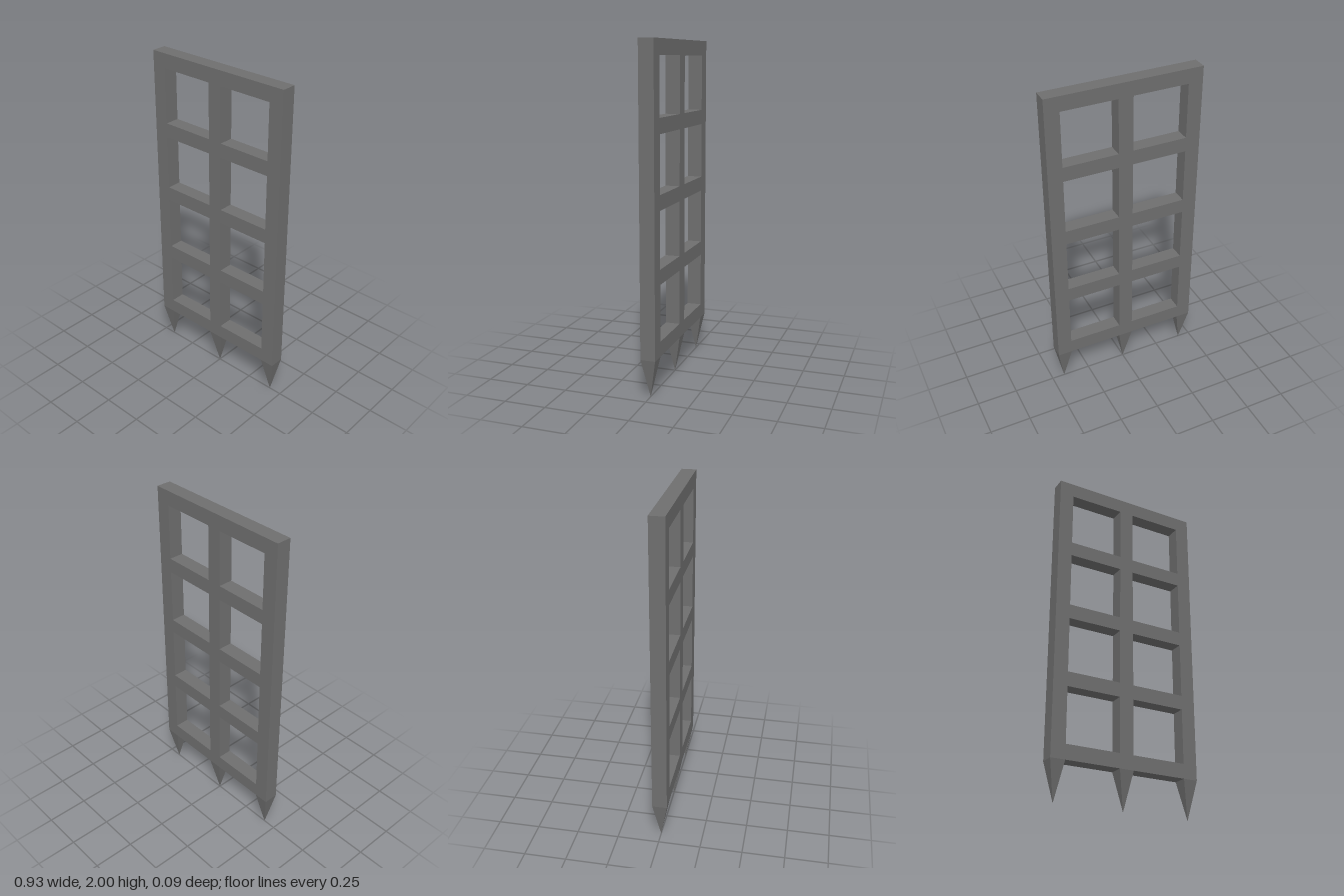
import * as THREE from 'three';

const BAR = 0.088;     // square bar thickness
const PITCH = 0.4205;  // spacing between bar centres
const COLS = 2, ROWS = 4;
const BASE = 0.23;     // height where the spikes meet the lattice

function rectangle(target, x0, y0, x1, y1) {
  target.moveTo(x0, y0);
  target.lineTo(x1, y0);
  target.lineTo(x1, y1);
  target.lineTo(x0, y1);
  target.closePath();
  return target;
}

export function createModel() {
  const group = new THREE.Group();
  group.name = 'portcullis';
  const iron = new THREE.MeshStandardMaterial({ color: 0x6e6e6e, flatShading: true });
  iron.name = 'dark grey iron';

  // Lattice: one flat slab with square openings
  const halfWidth = (COLS * PITCH + BAR) / 2;
  const shape = rectangle(new THREE.Shape(), -halfWidth, BASE, halfWidth, 2);
  for (let c = 0; c < COLS; c++) {
    for (let r = 0; r < ROWS; r++) {
      const x = -halfWidth + BAR + c * PITCH;
      const y = BASE + BAR + r * PITCH;
      const size = PITCH - BAR;
      shape.holes.push(rectangle(new THREE.Path(), x, y, x + size, y + size));
    }
  }
  const latticeGeometry = new THREE.ExtrudeGeometry(shape, { depth: BAR, bevelEnabled: false });
  latticeGeometry.translate(0, 0, -BAR / 2);
  const lattice = new THREE.Mesh(latticeGeometry, iron);
  lattice.name = 'lattice';
  group.add(lattice);

  // Four-sided spikes below each upright, pointing down
  const spikeGeometry = new THREE.ConeGeometry(BAR / Math.SQRT2, BASE, 4, 1, true, Math.PI / 4);
  spikeGeometry.rotateX(Math.PI);
  for (let i = 0; i <= COLS; i++) {
    const spike = new THREE.Mesh(spikeGeometry, iron);
    spike.name = `spike${i + 1}`;
    spike.position.set((i - COLS / 2) * PITCH, BASE / 2, 0);
    group.add(spike);
  }
  return group;
}
